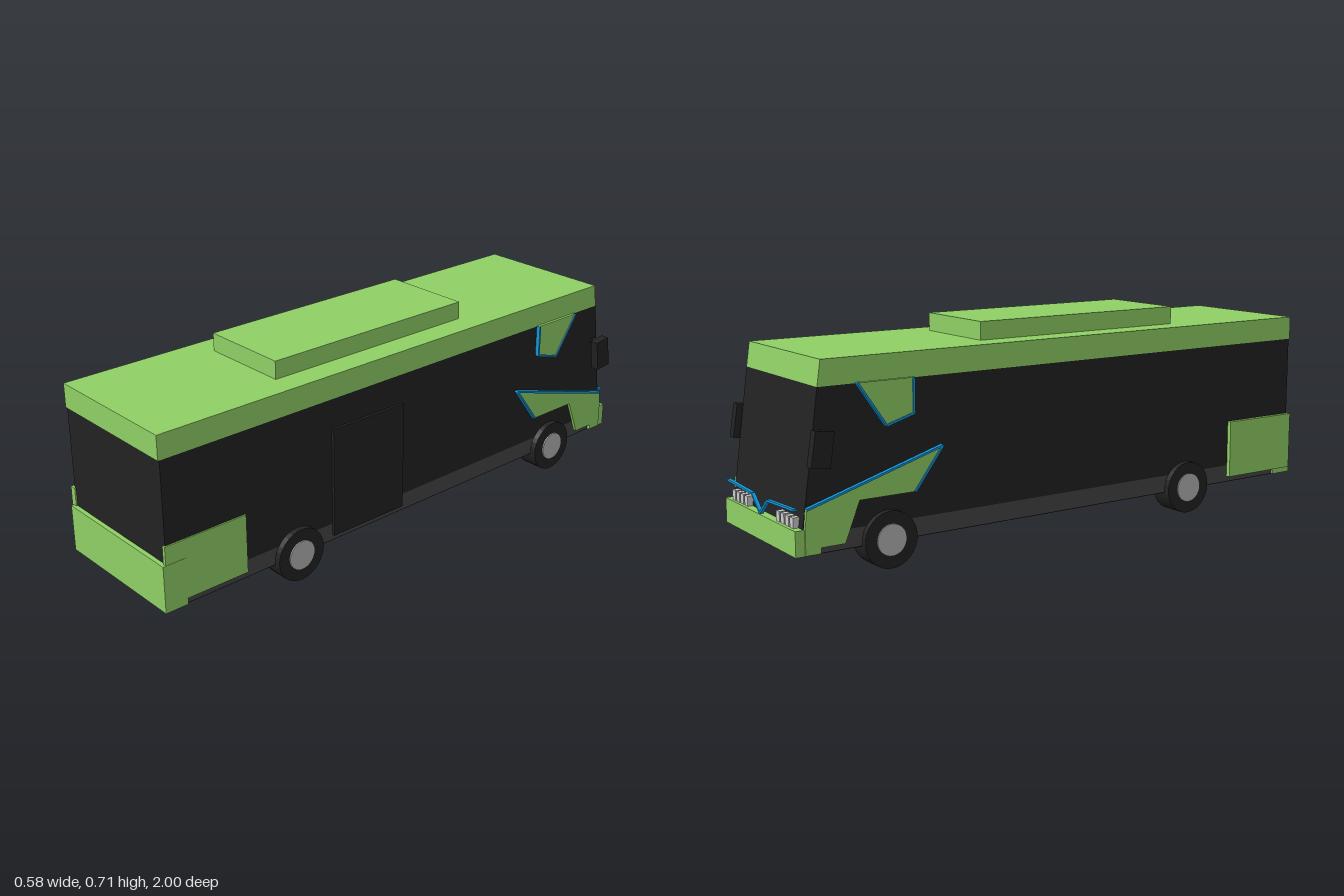
import * as THREE from 'three';

const mat = (color) => new THREE.MeshStandardMaterial({ color, flatShading: true });
const GREEN = mat(0x8fd065), BLACK = mat(0x222222), SKIRT = mat(0x444444);
const BLUE = mat(0x1199dd), HUB = mat(0xb4b4b4), LAMP = mat(0xcccccc);

export function createModel() {
  const bus = new THREE.Group();

  const add = (name, geometry, material) => {
    const mesh = new THREE.Mesh(geometry, material);
    mesh.name = name;
    bus.add(mesh);
    return mesh;
  };

  // Box given by its limits on each axis
  const box = (name, material, [x0, x1], [y0, y1], [z0, z1]) =>
    add(name, new THREE.BoxGeometry(x1 - x0, y1 - y0, z1 - z0), material)
      .position.set((x0 + x1) / 2, (y0 + y1) / 2, (z0 + z1) / 2);

  // Side profile of [z, y] points, extruded across from x0 to x1
  const slab = (name, material, points, x0, x1) => {
    const shape = new THREE.Shape(points.map(([z, y]) => new THREE.Vector2(-z, y)));
    const g = new THREE.ExtrudeGeometry(shape, { depth: x1 - x0, bevelEnabled: false });
    g.rotateY(Math.PI / 2).translate(x0, 0, 0);
    return add(name, g, material);
  };

  // Same slab on either side of the bus
  const sideSlab = (name, material, points, inner, outer, side) =>
    slab(name, material, points, side > 0 ? inner : -outer, side > 0 ? outer : -inner);

  // Straight trim bar between two points
  const bar = (name, a, b, width, height) => {
    const p = new THREE.Vector3(...a), q = new THREE.Vector3(...b);
    const m = add(name, new THREE.BoxGeometry(width, height, p.distanceTo(q)), BLUE);
    m.position.copy(p).add(q).multiplyScalar(0.5);
    m.lookAt(q);
  };

  // Body shell with raked windscreen
  slab('glazedBody', BLACK, [[0.985, 0.14], [0.985, 0.575], [-0.915, 0.575], [-0.973, 0.16], [-0.973, 0.14]], -0.247, 0.247);
  slab('roof', GREEN, [[0.99, 0.575], [0.99, 0.655], [-0.903, 0.655], [-0.915, 0.575]], -0.247, 0.247);
  box('roofUnit', GREEN, [-0.158, 0.158], [0.655, 0.715], [-0.295, 0.495]);
  box('lowerSkirt', SKIRT, [-0.246, 0.246], [0.082, 0.14], [-0.97, 0.985]);
  box('floor', BLACK, [-0.245, 0.245], [0.079, 0.082], [-0.92, 0.92]);

  // Bumpers and rear corner panels
  box('rearBumper', GREEN, [-0.253, 0.253], [0.08, 0.238], [0.92, 1]);
  box('frontBumper', GREEN, [-0.252, 0.252], [0.08, 0.16], [-1, -0.92]);
  box('rearPanelRight', GREEN, [-0.262, -0.24], [0.1, 0.3], [0.695, 0.99]);
  box('rearPanelLeft', GREEN, [0.24, 0.252], [0.1, 0.3], [0.695, 0.99]);

  // Door on one side only
  box('door', BLACK, [0.24, 0.257], [0.1, 0.475], [0.05, 0.35]);

  const upper = [[-0.6, 0.577], [-0.6, 0.468], [-0.695, 0.44], [-0.79, 0.577]];
  const lower = [[-0.5, 0.357], [-0.6, 0.225], [-0.79, 0.225], [-0.84, 0.1], [-0.92, 0.1],
    [-0.92, 0.082], [-0.97, 0.082], [-0.97, 0.16], [-0.964, 0.22]];

  for (const side of [1, -1]) {
    // Angular front side panels with trim edges
    sideSlab('upperSidePanel', GREEN, upper, 0.24, 0.257, side);
    sideSlab('lowerSidePanel', GREEN, lower, 0.24, 0.257, side);
    const edge = ([z0, y0], [z1, y1]) =>
      bar('sideTrim', [side * 0.254, y0, z0], [side * 0.254, y1, z1], 0.014, 0.007);
    edge(upper[0], upper[1]);
    edge(upper[1], upper[2]);
    edge(upper[2], upper[3]);
    edge(lower[0], lower[1]);
    edge(lower[0], lower[8]);

    // Mirrors raked with the windscreen
    sideSlab('mirror', BLACK, [[-0.9, 0.34], [-0.962, 0.348], [-0.945, 0.456], [-0.884, 0.448]], 0.262, 0.291, side);
    box('mirrorArm', BLACK, side > 0 ? [0.235, 0.265] : [-0.265, -0.235], [0.435, 0.45], [-0.92, -0.9]);

    // Headlamp row
    for (let i = 0; i < 4; i++) {
      const x = side * (0.115 + i * 0.031);
      box('headlamp', LAMP, [x - 0.011, x + 0.011], [0.16, 0.192], [-0.99, -0.96]);
    }

    // Front trim sweeping into a central V
    bar('frontTrim', [side * 0.24, 0.22, -0.992], [side * 0.055, 0.212, -0.992], 0.012, 0.007);
    bar('frontTrim', [side * 0.055, 0.212, -0.992], [0, 0.162, -0.992], 0.012, 0.007);

    // Wheels
    for (const z of [0.495, -0.69]) {
      const tyre = add('tyre', new THREE.CylinderGeometry(0.09, 0.09, 0.08, 32).rotateZ(Math.PI / 2), BLACK);
      tyre.position.set(side * 0.227, 0.09, z);
      const hub = add('hub', new THREE.CylinderGeometry(0.05, 0.05, 0.089, 32).rotateZ(Math.PI / 2), HUB);
      hub.position.copy(tyre.position);
    }
  }
  return bus;
}
